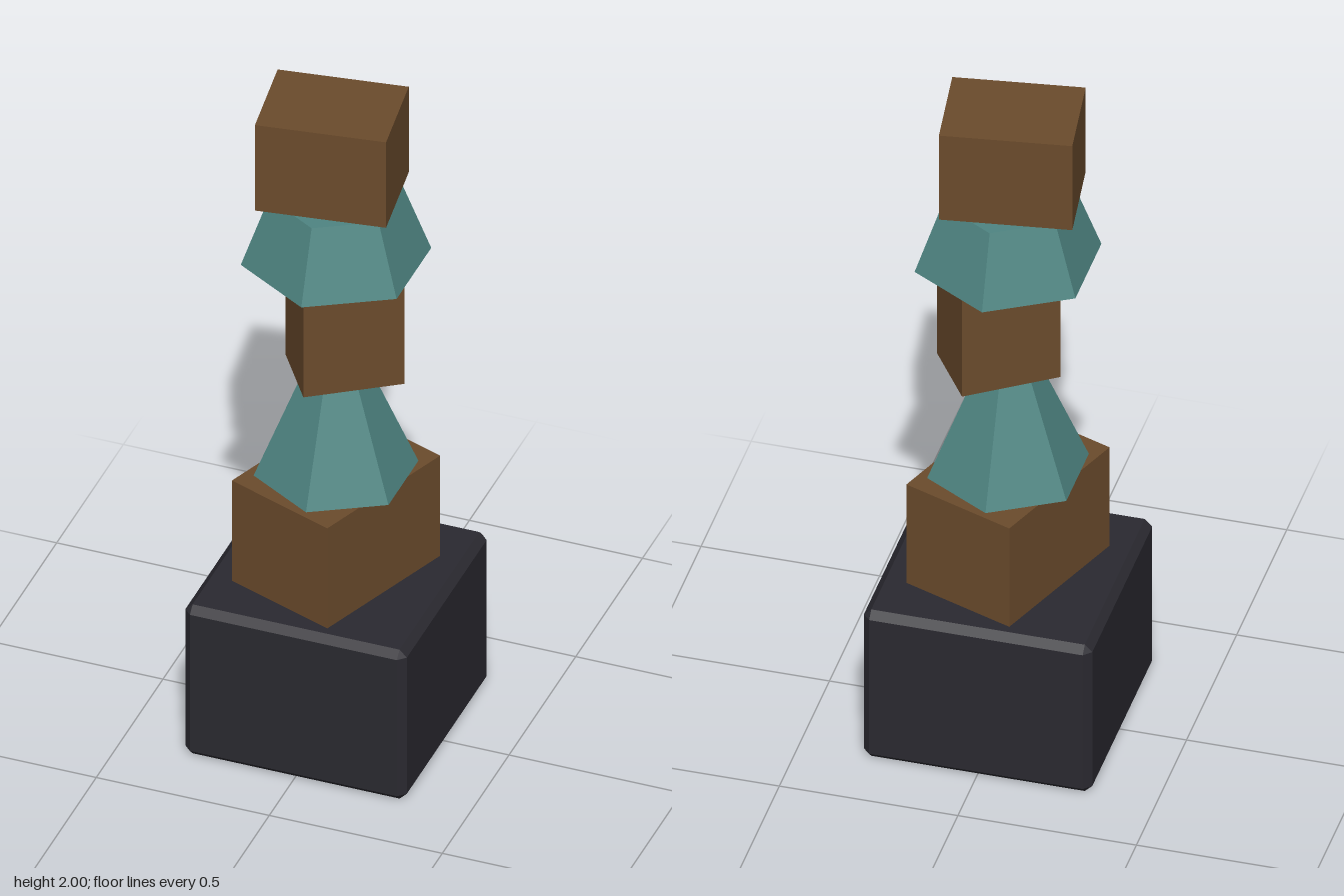
import * as THREE from 'three';
import { ConvexGeometry } from 'three/addons/geometries/ConvexGeometry.js';

const material = (color) => new THREE.MeshStandardMaterial({ color, flatShading: true });

// Box with every edge cut at 45 degrees
function chamferedBox(w, h, d, c) {
  const points = [];
  for (const sx of [-1, 1]) for (const sy of [-1, 1]) for (const sz of [-1, 1]) {
    const x = w / 2, y = h / 2, z = d / 2;
    points.push(
      new THREE.Vector3(sx * x, sy * (y - c), sz * (z - c)),
      new THREE.Vector3(sx * (x - c), sy * y, sz * (z - c)),
      new THREE.Vector3(sx * (x - c), sy * (y - c), sz * z));
  }
  return new ConvexGeometry(points);
}

export function createModel() {
  const group = new THREE.Group();
  const stone = material(0x2a2930);
  const wood = material(0x6b4b2c);
  const teal = material(0x4f8582);

  // Stacks each part between two heights
  function add(name, geometry, mat, bottom, top, x = 0, turn = 0) {
    const mesh = new THREE.Mesh(geometry, mat);
    mesh.name = name;
    mesh.position.set(x, (bottom + top) / 2, 0);
    mesh.rotation.y = turn;
    group.add(mesh);
  }
  const block = (name, w, d, bottom, top, x, turn) =>
    add(name, new THREE.BoxGeometry(w, top - bottom, d), wood, bottom, top, x, turn);
  const hexTaper = (name, rTop, rBottom, bottom, top) =>
    add(name, new THREE.CylinderGeometry(rTop, rBottom, top - bottom, 6), teal, bottom, top);

  // Plinth
  add('base', chamferedBox(0.64, 0.488, 0.64, 0.021), stone, 0, 0.488);

  // Alternating twisted blocks and six-sided tapers
  block('lowerBlock', 0.343, 0.46, 0.488, 0.816, 0, -0.355);
  hexTaper('lowerTaper', 0.087, 0.225, 0.816, 1.147);
  block('middleBlock', 0.28, 0.21, 1.147, 1.51, 0.026, 0.6);
  hexTaper('upperTaper', 0.183, 0.26, 1.51, 1.72);
  block('topBlock', 0.363, 0.271, 1.72, 2, -0.012, 0.14);

  return group;
}
